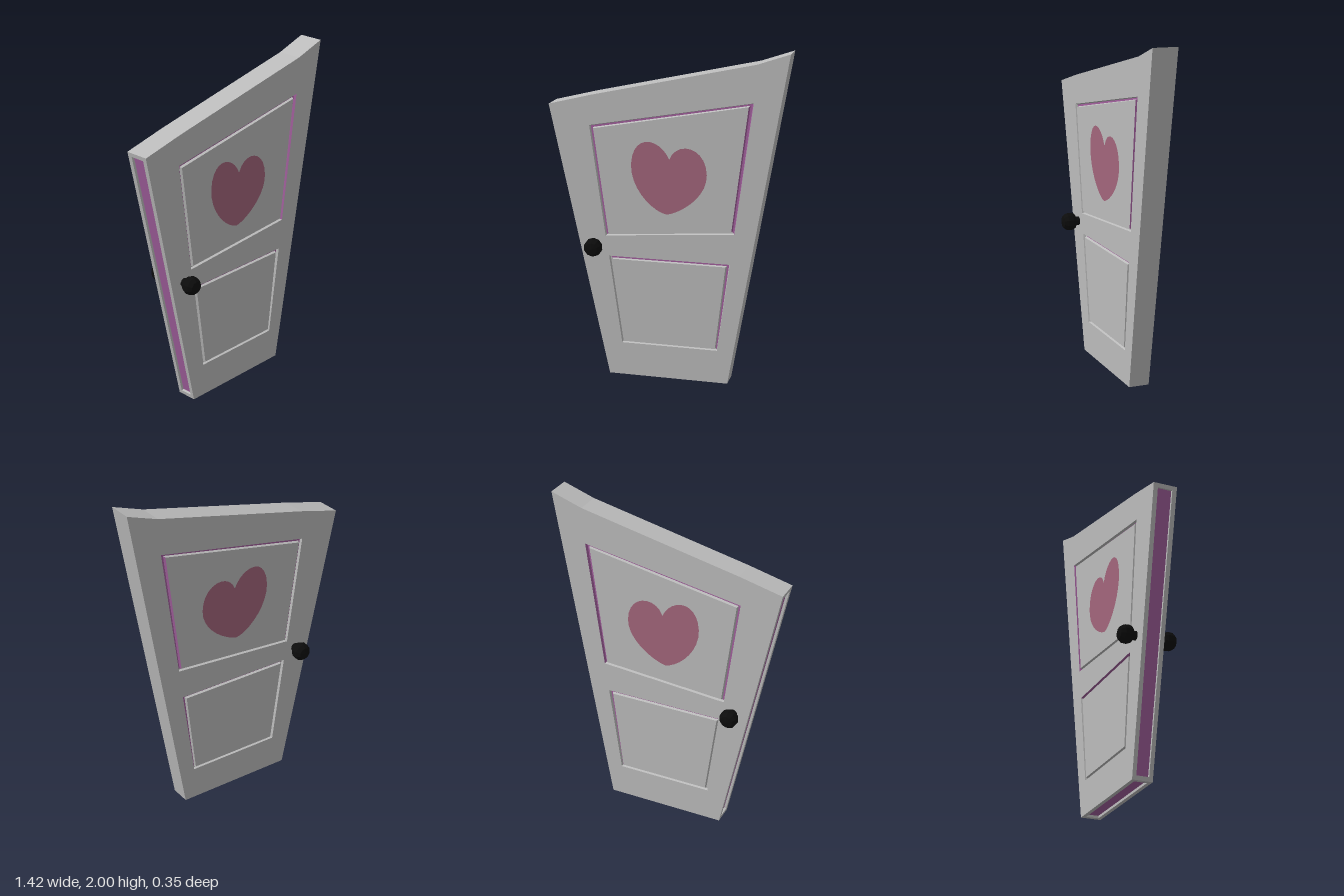
import * as THREE from 'three';

const V = (x, y, z) => new THREE.Vector3(x, y, z);
const halfDepth = (y) => 0.061 + 0.007 * y; // the door is thicker towards the top

// Outlines run anticlockwise as seen from the front
const outline = [[-0.36, 0], [0.37, 0], [0.71, 2], [0.52, 1.935], [-0.45, 1.72], [-0.71, 1.655]];

// Grooves: sides in the order bottom, right, top, left; paint lists [outer wall, floor, inner wall]
const grooves = [
  {
    name: 'upperPanel',
    outer: [[-0.375, 0.875], [0.402, 0.935], [0.505, 1.715], [-0.465, 1.54]],
    inner: [[-0.358, 0.892], [0.385, 0.95], [0.477, 1.692], [-0.442, 1.522]],
    paint: [[0, 0, 0], [1, 1, 1], [0, 1, 0], [0, 1, 0]],
  },
  {
    name: 'lowerPanel',
    outer: [[-0.28, 0.205], [0.305, 0.205], [0.378, 0.75], [-0.355, 0.75]],
    inner: [[-0.262, 0.22], [0.293, 0.22], [0.352, 0.732], [-0.332, 0.732]],
    paint: [[0, 0, 0], [0, 1, 0], [1, 1, 0], [0, 0, 0]],
  },
];

const toShape = (pts) => new THREE.Shape(pts.map(([x, y]) => new THREE.Vector2(x, y)));

// Flat shape laid on the front (side = 1) or back (side = -1) of the tapering door
function faceGeometry(shape, side, lift = 0) {
  const g = new THREE.ShapeGeometry(shape, 10);
  const p = g.attributes.position;
  for (let i = 0; i < p.count; i++) p.setZ(i, side * (halfDepth(p.getY(i)) + lift));
  if (side < 0) {
    const a = g.index.array;
    for (let i = 0; i < a.length; i += 3) [a[i], a[i + 1]] = [a[i + 1], a[i]];
  }
  g.computeVertexNormals();
  return g;
}

// Geometry from a list of four-cornered faces
function quadGeometry(quads) {
  const pts = quads.flatMap(([a, b, c, d]) => [a, b, c, a, c, d]);
  const g = new THREE.BufferGeometry().setFromPoints(pts);
  g.computeVertexNormals();
  return g;
}

// Faces joining two loops of equal length
const ring = (a, b) => a.map((p, i) => {
  const j = (i + 1) % a.length;
  return [p, a[j], b[j], b[i]];
});

function heartShape() {
  const s = new THREE.Shape();
  s.moveTo(0, 1.03);
  s.bezierCurveTo(0.07, 1.04, 0.24, 1.14, 0.238, 1.28);
  s.bezierCurveTo(0.235, 1.45, 0.06, 1.48, 0.015, 1.36);
  s.bezierCurveTo(-0.03, 1.47, -0.17, 1.51, -0.207, 1.37);
  s.bezierCurveTo(-0.25, 1.2, -0.09, 1.04, 0, 1.03);
  return s;
}

export function createModel() {
  const grey = new THREE.MeshStandardMaterial({ color: 0xbcbcbc });
  grey.name = 'door grey';
  const purple = new THREE.MeshStandardMaterial({ color: 0xa3609e });
  purple.name = 'groove purple';
  const rose = new THREE.MeshStandardMaterial({ color: 0xa3667c });
  rose.name = 'heart rose';
  const black = new THREE.MeshStandardMaterial({ color: 0x0c0c0c, flatShading: true });
  black.name = 'knob black';

  const door = new THREE.Group();
  door.name = 'door';
  const add = (name, geometry, material) => {
    const m = new THREE.Mesh(geometry, material);
    m.name = name;
    door.add(m);
    return m;
  };

  // Front and back faces with grooved panels, hearts and knobs
  const knobProfile = [[0.027, 0.06], [0.027, 0.094], [0.045, 0.096], [0.055, 0.115],
    [0.053, 0.146], [0.036, 0.168], [0, 0.175]].map(([r, y]) => new THREE.Vector2(r, y));

  for (const [label, side] of [['front', 1], ['back', -1]]) {
    const face = toShape(outline);
    face.holes = grooves.map((g) => toShape(g.outer));
    add(label + 'Face', faceGeometry(face, side), grey);

    for (const g of grooves) {
      add(label + g.name, faceGeometry(toShape(g.inner), side), grey);
      const loop = (t, sink) => g.outer.map(([x, y], i) => {
        const [u, v] = g.inner[i];
        const py = y + (v - y) * t;
        return V(x + (u - x) * t, py, side * (halfDepth(py) - sink));
      });
      const loops = [loop(0, 0), loop(0.25, 0.015), loop(0.75, 0.015), loop(1, 0)];
      const sorted = [[], []];
      for (let k = 0; k < 3; k++) {
        ring(loops[k], loops[k + 1]).forEach((q, i) => {
          sorted[g.paint[i][k]].push(side > 0 ? q : q.reverse());
        });
      }
      add(label + g.name + 'Groove', quadGeometry(sorted[0]), grey);
      add(label + g.name + 'GrooveInlay', quadGeometry(sorted[1]), purple);
    }

    add(label + 'Heart', faceGeometry(heartShape(), side, 0.002), rose);

    const knob = add(label + 'Knob', new THREE.LatheGeometry(knobProfile, 10), black);
    knob.rotation.x = side * Math.PI / 2;
    knob.position.set(-0.435, 0.815, 0);
  }

  // Edges: plain on top and hinge side, with a sunken inlay on the bottom and latch side
  const edge = [], inlay = [];
  outline.forEach(([x, y], i) => {
    const [u, v] = outline[(i + 1) % outline.length];
    const along = V(u - x, v - y, 0).normalize();
    const inward = V(-along.y, along.x, 0);
    const corners = (inset, zScale, sink) => {
      const a = V(x, y, 0).addScaledVector(along, inset).addScaledVector(inward, sink);
      const b = V(u, v, 0).addScaledVector(along, -inset).addScaledVector(inward, sink);
      const ha = halfDepth(y) * zScale, hb = halfDepth(v) * zScale;
      return [V(a.x, a.y, ha), V(a.x, a.y, -ha), V(b.x, b.y, -hb), V(b.x, b.y, hb)];
    };
    const rim = corners(0, 1, 0);
    if (i === 0 || i === 5) {
      const lip = corners(0.025, 0.62, 0), floor = corners(0.025, 0.62, 0.015);
      edge.push(...ring(rim, lip), ...ring(lip, floor));
      inlay.push(floor);
    } else {
      edge.push(rim);
    }
  });
  add('doorEdge', quadGeometry(edge), grey);
  add('edgeInlay', quadGeometry(inlay), purple);

  return door;
}
